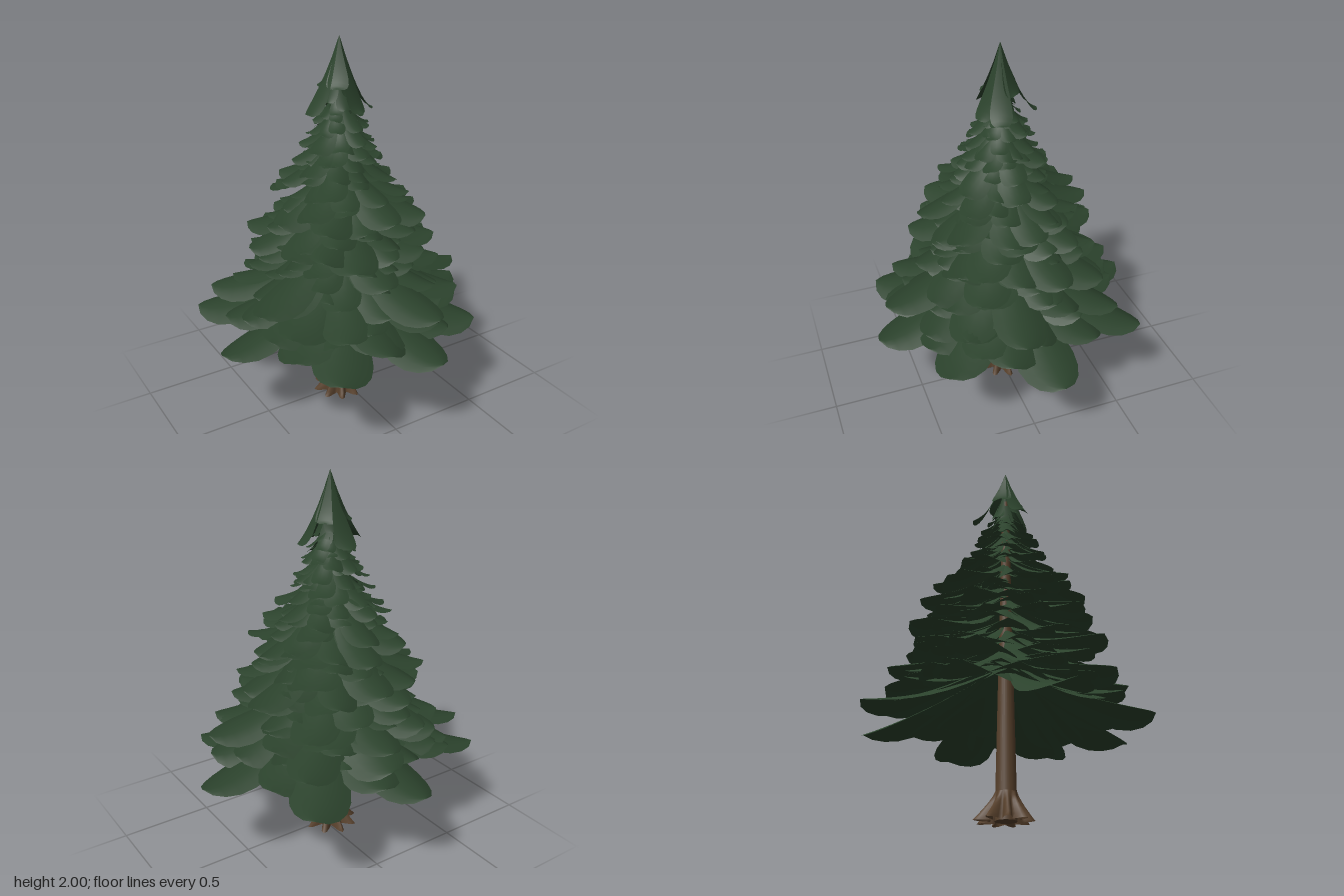
import * as THREE from 'three';
import { mergeGeometries } from 'three/addons/utils/BufferGeometryUtils.js';

const AXIS_X = -0.04; // the trunk stands slightly off centre

// Small seeded random generator
function seeded(seed) {
  return () => {
    seed = (seed * 1664525 + 1013904223) % 4294967296;
    return seed / 4294967296;
  };
}

// Linear interpolation through [key, value] pairs
function sample(table, key) {
  for (let i = 1; i < table.length; i++) {
    const [k0, v0] = table[i - 1], [k1, v1] = table[i];
    if (key <= k1) return v0 + (v1 - v0) * Math.max(0, (key - k0) / (k1 - k0));
  }
  return table[table.length - 1][1];
}

// One paddle-shaped bough: starts at the trunk, droops, then levels out at a round tip
function bough({ angle, reach, tipY, drop, width, bend = 1.6, arch = 0.3, roll = 0 }) {
  const rows = 9, cols = 6;
  const positions = [], indices = [];
  for (let i = 0; i <= rows; i++) {
    const t = 1 - Math.pow(1 - i / rows, 1.6);
    const half = 0.5 * width * Math.pow(Math.max(0, Math.sin(Math.PI * Math.pow(t, 2))), 0.55);
    for (let j = 0; j <= cols; j++) {
      const v = (j / cols) * 2 - 1;
      positions.push(
        reach * t,
        tipY + drop * Math.pow(1 - t, bend) + half * (roll * v - arch * v * v),
        half * v
      );
      if (i < rows && j < cols) {
        const a = i * (cols + 1) + j, b = a + cols + 1;
        indices.push(a, a + 1, b, a + 1, b + 1, b);
      }
    }
  }
  const geometry = new THREE.BufferGeometry();
  geometry.setAttribute('position', new THREE.Float32BufferAttribute(positions, 3));
  geometry.setIndex(indices);
  geometry.computeVertexNormals();
  return geometry.rotateY(-angle);
}

// Open star-shaped skirt of roots around the trunk foot
function rootGeometry() {
  const height = 0.14;
  const geometry = new THREE.CylinderGeometry(1, 1, 1, 54, 6, true);
  const p = geometry.attributes.position;
  for (let i = 0; i < p.count; i++) {
    const h = Math.min(1, Math.max(0, p.getY(i) + 0.5));
    const angle = Math.atan2(p.getZ(i), p.getX(i));
    const flare = Math.pow(1 - h, 1.25);
    const ridge = 0.5 + 0.5 * Math.cos(9 * angle + 0.6);
    const r = 0.054 + flare * (0.022 + (0.075 - 0.013 * Math.sin(angle)) * ridge);
    p.setXYZ(i, Math.cos(angle) * r, h * height, Math.sin(angle) * r);
  }
  geometry.computeVertexNormals();
  return geometry;
}

export function createModel() {
  const needles = new THREE.MeshStandardMaterial({ color: 0x2b422c, side: THREE.DoubleSide });
  needles.name = 'needle green';
  const bark = new THREE.MeshStandardMaterial({ color: 0x58412c, side: THREE.DoubleSide });
  bark.name = 'bark brown';

  const tree = new THREE.Group();
  tree.name = 'coniferTree';
  const add = (name, geometry, material) => {
    const mesh = new THREE.Mesh(geometry, material);
    mesh.name = name;
    mesh.position.x = AXIS_X;
    tree.add(mesh);
  };
  const addBoughs = (name, list) => add(name, mergeGeometries(list.map(bough)), needles);
  const random = seeded(7);
  const vary = (low, high) => low + (high - low) * random();

  add('trunk', new THREE.CylinderGeometry(0.018, 0.055, 1.8, 24).translate(0, 0.9, 0), bark);
  add('roots', rootGeometry(), bark);

  // Lowest skirt: [angle, reach, tip height]
  const skirt = [
    [-0.06, 0.81, 0.5], [-0.88, 0.8, 0.51], [-1.65, 0.75, 0.5], [-2.54, 0.79, 0.51],
    [3.06, 0.735, 0.48], [2.1, 0.74, 0.5], [1.38, 0.75, 0.5], [0.7, 0.73, 0.51],
    [2.47, 0.64, 0.54], [0.24, 0.67, 0.56], [-0.52, 0.66, 0.55], [-2.25, 0.66, 0.58],
    [-1.41, 0.64, 0.55], [0.99, 0.62, 0.54], [-2.87, 0.63, 0.56], [1.7, 0.6, 0.57],
  ];
  addBoughs('lowerBoughs', skirt.map(([angle, reach, tipY]) => (
    { angle, reach, tipY, drop: 0.3, width: 0.31, roll: vary(-0.15, 0.15) })));

  // Long boughs standing out of the lower crown
  const strays = [
    [0.15, 0.69, 0.7], [-0.25, 0.58, 0.92], [2.75, 0.66, 0.76], [-2.6, 0.7, 0.66],
    [1.35, 0.7, 0.72], [-1.5, 0.61, 0.72], [-1.75, 0.55, 0.92], [0.6, 0.62, 0.68],
    [-0.8, 0.68, 0.64], [2.05, 0.62, 0.66], [-0.1, 0.44, 1.13], [-3, 0.5, 0.97],
    [1.5, 0.46, 1.17], [-1.45, 0.46, 1.13],
  ];
  addBoughs('longBoughs', strays.map(([angle, reach, tipY]) => (
    { angle, reach, tipY, drop: 0.23, width: 0.07 + reach * 0.29, roll: vary(-0.2, 0.2) })));

  // Crown: overlapping rings that shrink with height
  const outline = [[0.54, 0.6], [0.7, 0.6], [0.92, 0.5], [1.15, 0.41], [1.35, 0.28], [1.5, 0.19], [1.68, 0.1]];
  const tiers = 22, perTier = 11;
  const crown = [];
  for (let tier = 0; tier < tiers; tier++) {
    for (let i = 0; i < perTier; i++) {
      const tipY = 0.58 + 1.06 * (tier / (tiers - 1)) + vary(-0.03, 0.03);
      const reach = sample(outline, tipY) * vary(0.72, 1.08);
      crown.push({
        angle: ((i + vary(-0.3, 0.3)) / perTier) * Math.PI * 2 + tier * 2.4,
        reach, tipY,
        drop: (0.11 + 0.26 * reach) * vary(0.85, 1.15),
        width: 0.025 + reach * vary(0.36, 0.46),
        roll: vary(-0.25, 0.25),
      });
    }
  }
  addBoughs('crownBoughs', crown);

  // Slim, steep boughs around the neck
  const neck = [];
  for (let i = 0; i < 12; i++) {
    neck.push({
      angle: i * 2.4, reach: vary(0.06, 0.1), tipY: 1.58 + 0.012 * i,
      drop: 0.22, width: 0.075, bend: 1.4,
    });
  }
  addBoughs('neckBoughs', neck);

  // Pointed top: [angle, reach, tip height]
  const top = [
    [0.3, 0.17, 1.64], [3.0, 0.2, 1.64], [1.2, 0.14, 1.64], [-1.55, 0.19, 1.64],
    [2.25, 0.1, 1.76], [-2.5, 0.11, 1.76], [-0.65, 0.09, 1.75],
  ];
  addBoughs('topBoughs', top.map(([angle, reach, tipY]) => (
    { angle, reach, tipY, drop: 2 - tipY, width: 0.11, bend: 1.7, arch: 0.2 })));

  return tree;
}
